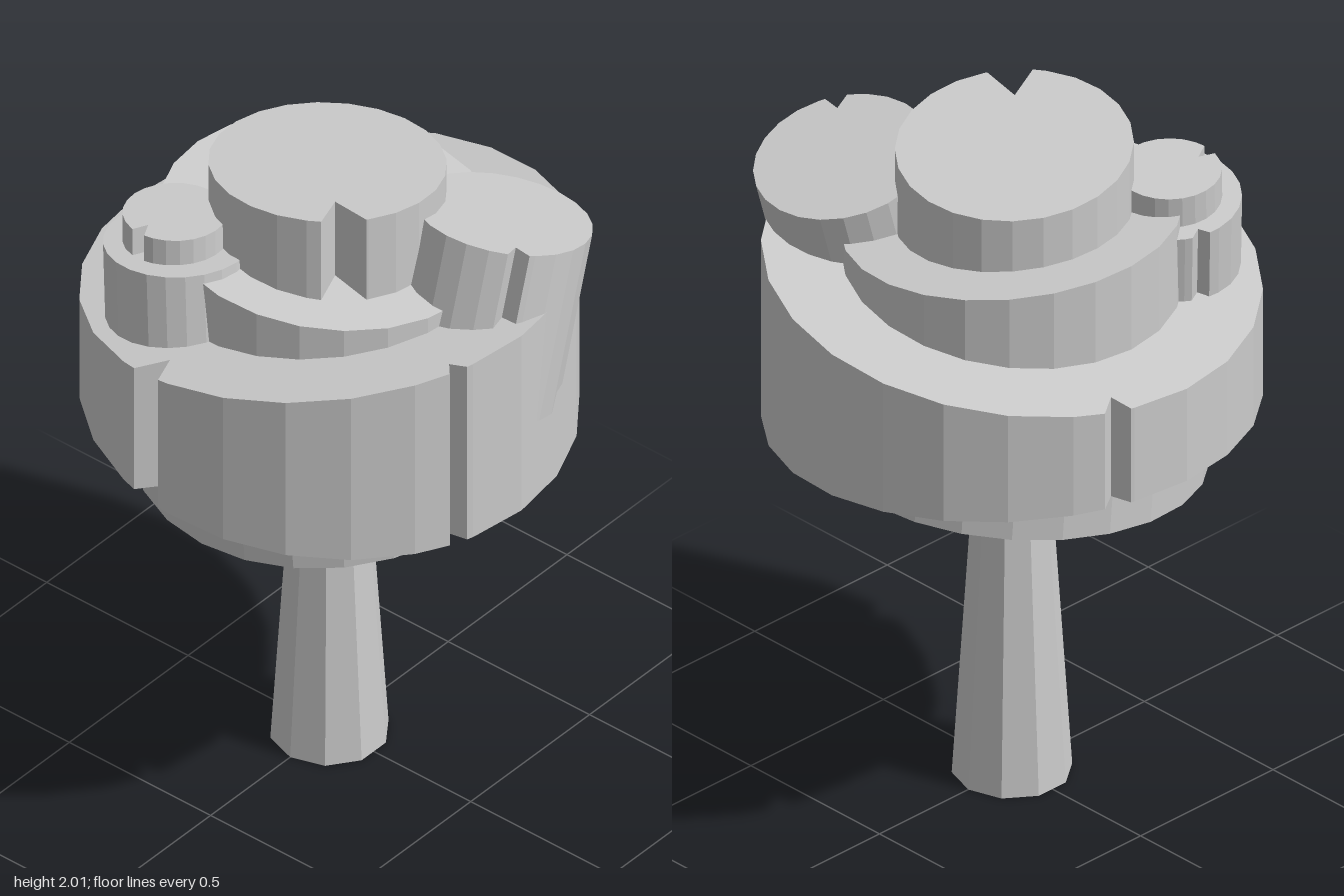
import * as THREE from 'three';

const material = new THREE.MeshStandardMaterial({ color: 0xcccccc, flatShading: true, side: THREE.DoubleSide });
const SIDES = 24;

// Round outline with V-shaped nicks; each nick is [startDeg, midDeg, midRadius, endDeg], angles from +x towards +z
function outline(radius, nicks) {
  const points = [];
  for (let i = 0; i < SIDES; i++) {
    const a = (i * 360) / SIDES;
    if (!nicks.some((n) => a >= n[0] && a <= n[3])) points.push([a, radius]);
  }
  for (const [a0, aMid, rMid, a1] of nicks) points.push([a0, radius], [aMid, rMid], [a1, radius]);
  points.sort((p, q) => p[0] - q[0]);
  return new THREE.Shape(points.map(([deg, r]) => {
    const a = THREE.MathUtils.degToRad(deg);
    return new THREE.Vector2(r * Math.cos(a), -r * Math.sin(a));
  }).reverse());
}

// Upright slab, y from 0 to 1
function slab(radius, nicks) {
  const geometry = new THREE.ExtrudeGeometry(outline(radius, nicks), { depth: 1, bevelEnabled: false });
  return geometry.rotateX(-Math.PI / 2);
}

// Slab with vertical walls, its ends cut by the planes y = h + sx * x + sz * z
function cutPad(name, radius, [cx, cz], bottom, top, nicks = []) {
  const geometry = slab(radius, nicks).translate(cx, 0, cz);
  const p = geometry.attributes.position;
  for (let i = 0; i < p.count; i++) {
    const [h, sx, sz] = p.getY(i) > 0.5 ? top : bottom;
    p.setY(i, h + sx * p.getX(i) + sz * p.getZ(i));
  }
  geometry.computeVertexNormals();
  const mesh = new THREE.Mesh(geometry, material);
  mesh.name = name;
  return mesh;
}

// Slab leaning as a whole, placed by the centre of its top face
function leaningPad(name, radius, height, topCentre, [rx, rz], nicks = []) {
  const geometry = slab(radius, nicks).translate(0, -1, 0).scale(1, height, 1);
  const mesh = new THREE.Mesh(geometry, material);
  mesh.name = name;
  mesh.position.set(...topCentre);
  mesh.rotation.set(rx, 0, rz);
  return mesh;
}

export function createModel() {
  const model = new THREE.Group();
  model.name = 'tree';

  // Tapered trunk
  const trunk = new THREE.Mesh(new THREE.CylinderGeometry(0.098, 0.165, 1.05, 10), material);
  trunk.name = 'trunk';
  trunk.position.y = 0.525;
  model.add(trunk);

  // Main foliage tiers, from the bottom up
  model.add(leaningPad('lowerFoliage', 0.53, 0.3, [0, 1.3, 0.035], [0.085, 0]));
  model.add(cutPad('mainFoliage', 0.68, [0, 0], [1.145, -0.08, 0], [1.59, 0.147, 0], [
    [16.7, 19.3, 0.636, 21.3],
    [93, 97, 0.59, 101],
    [195.8, 198.4, 0.617, 202.4],
  ]));
  model.add(cutPad('upperFoliage', 0.465, [0, 0], [1.4, 0, 0], [1.742, -0.092, 0.045]));
  model.add(cutPad('crownFoliage', 0.324, [0.006, 0.015], [1.68, 0, 0], [1.955, 0.07, 0.13], [
    [31, 44.4, 0.214, 53],
  ]));

  // Leaning side tufts
  model.add(leaningPad('backTuft', 0.248, 0.52, [0.423, 1.843, -0.228], [-0.28, 0], [[34, 41, 0.2, 48]]));
  model.add(leaningPad('frontTuft', 0.205, 0.3, [-0.24, 1.77, 0.35], [-0.08, 0.1], [[189, 195, 0.175, 204]]));
  model.add(leaningPad('smallFrontTuft', 0.143, 0.13, [-0.253, 1.855, 0.348], [-0.06, 0.05], [[86, 99, 0.097, 104]]));

  return model;
}
